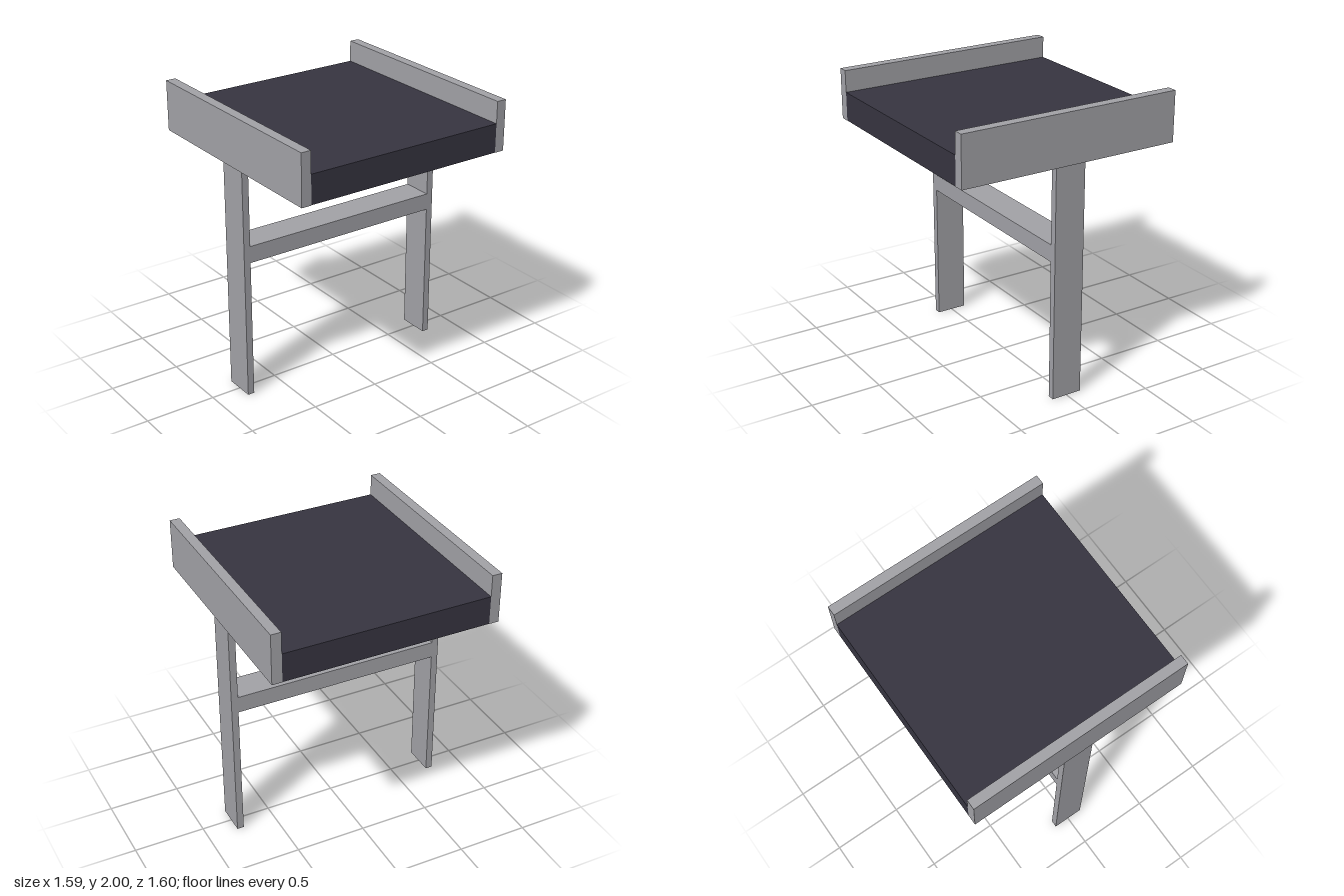
import * as THREE from 'three';

export function createModel() {
  const model = new THREE.Group();
  model.name = 'stool';

  const frameGrey = new THREE.MeshStandardMaterial({ color: 0xa1a1a6 });
  frameGrey.name = 'frame grey';
  const seatDark = new THREE.MeshStandardMaterial({ color: 0x363440 });
  seatDark.name = 'seat dark';

  // Box given by its extents along each axis
  function box(name, material, [x0, x1], [y0, y1], [z0, z1]) {
    const mesh = new THREE.Mesh(new THREE.BoxGeometry(x1 - x0, y1 - y0, z1 - z0), material);
    mesh.position.set((x0 + x1) / 2, (y0 + y1) / 2, (z0 + z1) / 2);
    mesh.name = name;
    model.add(mesh);
  }

  // Seat slab between the side panels
  box('seat', seatDark, [-0.727, 0.727], [1.648, 1.848], [-0.8, 0.8]);

  // Crossbar joining the legs
  box('crossbar', frameGrey, [-0.737, 0.737], [0.988, 1.107], [-0.11, 0.11]);

  // Side panels and flat legs, mirrored
  for (const [side, s] of [['left', 1], ['right', -1]]) {
    const span = (a, b) => (s > 0 ? [a, b] : [-b, -a]);
    box(`${side}SidePanel`, frameGrey, span(0.727, 0.797), [1.646, 2], [-0.8, 0.8]);
    box(`${side}Leg`, frameGrey, span(0.737, 0.785), [0, 1.646], [-0.11, 0.11]);
  }

  return model;
}
